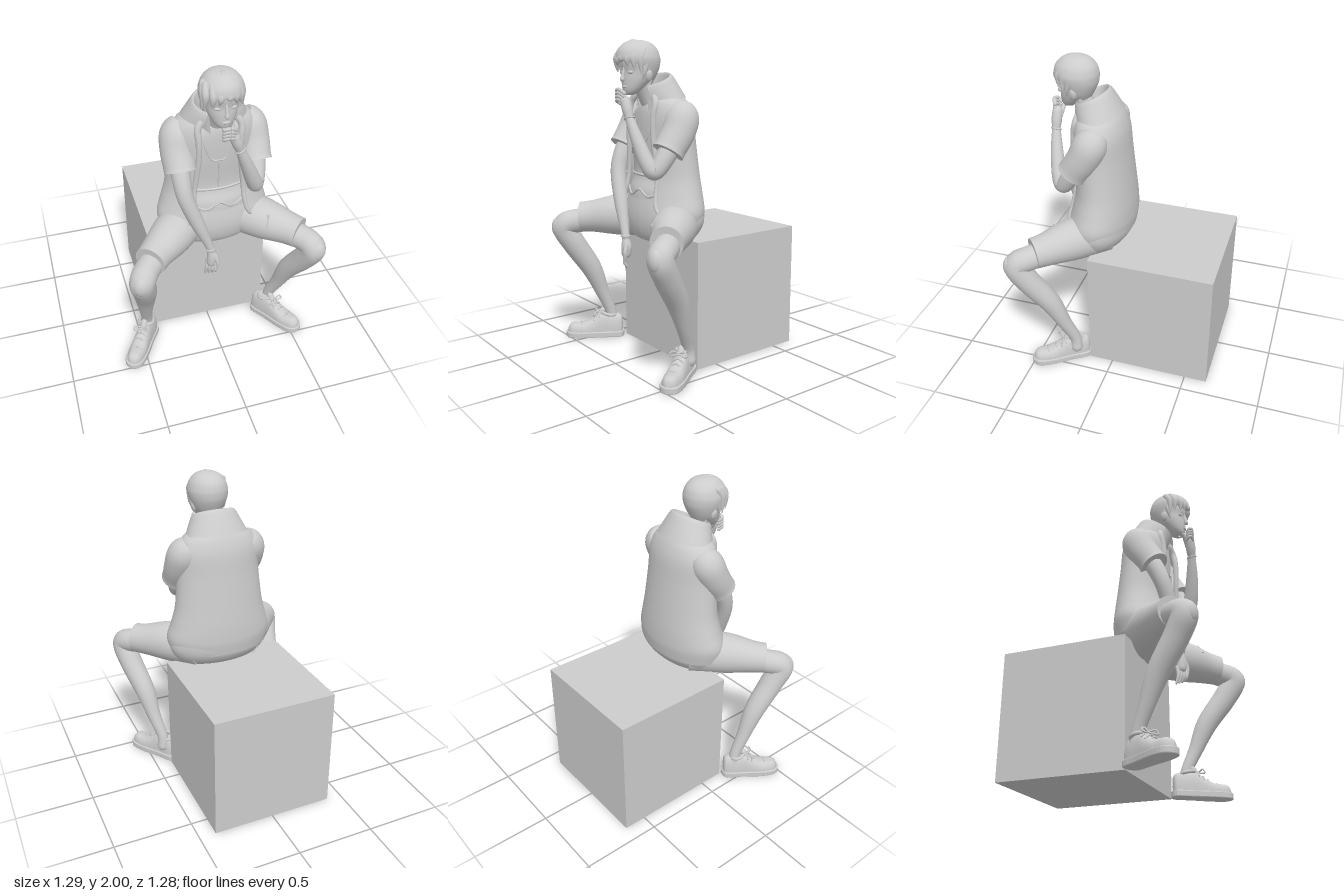
import * as THREE from 'three';
import { mergeVertices } from 'three/addons/utils/BufferGeometryUtils.js';

const V = (x, y, z) => new THREE.Vector3(x, y, z);

// Catmull-Rom through rows of numbers, giving `per` steps for each span
function spline(rows, per) {
  const out = [], last = rows.length - 1;
  for (let i = 0; i < last; i++) {
    const a = rows[Math.max(i - 1, 0)], b = rows[i], c = rows[i + 1], d = rows[Math.min(i + 2, last)];
    for (let k = 0; k < per; k++) {
      const t = k / per, t2 = t * t, t3 = t2 * t;
      out.push(b.map((v, j) => 0.5 * (2 * v + (c[j] - a[j]) * t
        + (2 * a[j] - 5 * v + 4 * c[j] - d[j]) * t2 + (3 * v - a[j] - 3 * c[j] + d[j]) * t3)));
    }
  }
  out.push(rows[last]);
  return out;
}

// Surface through rows of points; rings may close on themselves
function grid(rings, closed) {
  const n = rings[0].length, pos = [], idx = [];
  rings.forEach(r => r.forEach(p => pos.push(p.x, p.y, p.z)));
  for (let i = 0; i < rings.length - 1; i++) {
    for (let j = 0; j < (closed ? n : n - 1); j++) {
      const k = (j + 1) % n, a = i * n + j, b = i * n + k;
      idx.push(a, a + n, b, b, a + n, b + n);
    }
  }
  const g = new THREE.BufferGeometry();
  g.setAttribute('position', new THREE.Float32BufferAttribute(pos, 3));
  g.setIndex(idx);
  g.computeVertexNormals();
  return g;
}

// Round limb along [x, y, z, radius] points, with domed or flat ends
function limb(points, round = true, sides = 20, per = 6) {
  const s = spline(points, per), rings = [];
  const c = s.map(p => V(p[0], p[1], p[2]));
  const ring = (o, T, r) => {
    const N = V(1, 0, 0).addScaledVector(T, -T.x).normalize(), B = N.clone().cross(T);
    return Array.from({ length: sides }, (_, j) => {
      const a = j / sides * Math.PI * 2;
      return o.clone().addScaledVector(N, r * Math.cos(a)).addScaledVector(B, r * Math.sin(a));
    });
  };
  const tan = i => c[Math.min(i + 1, c.length - 1)].clone().sub(c[Math.max(i - 1, 0)]).normalize();
  const cap = (i, sign) => {
    const T = tan(i), r = s[i][3], out = [];
    if (!round) return [ring(c[i], T, r), ring(c[i], T, r * 0.5), ring(c[i], T, 0.0001)];
    for (let k = 1; k <= 4; k++) {
      const a = k / 4 * Math.PI / 2;
      out.push(ring(c[i].clone().addScaledVector(T, sign * r * Math.sin(a)), T, Math.max(r * Math.cos(a), 1e-4)));
    }
    return out;
  };
  rings.push(...cap(0, -1).reverse());
  c.forEach((o, i) => rings.push(ring(o, tan(i), s[i][3])));
  rings.push(...cap(c.length - 1, 1));
  return grid(rings, true);
}

// Upright shell from rows [y, xCentre, halfWidth, zBack, zFront, sweep, tilt]; sweep PI closes the front
const PI = Math.PI;
function shellPoint([y, xc, hw, zb, zf, sweep, tilt = 0], s) {
  const a = s * sweep;
  return V(xc + hw * Math.sin(a), y + tilt * Math.cos(a), (zb + zf) / 2 - (zf - zb) / 2 * Math.cos(a));
}
function shell(rows, per = 6, seg = 48) {
  const rings = spline(rows, per).map(r =>
    Array.from({ length: seg + 1 }, (_, j) => shellPoint(r, j / seg * 2 - 1)));
  const g = mergeVertices(grid(rings, false), 1e-5);
  g.computeVertexNormals();
  return g;
}

export function createModel() {
  const model = new THREE.Group();
  const grey = new THREE.MeshStandardMaterial({ color: 0xcccccc, side: THREE.DoubleSide });
  grey.name = 'plain grey';
  const add = (name, geo, parent = model) => {
    const m = new THREE.Mesh(geo, grey);
    m.name = name;
    parent.add(m);
    return m;
  };
  const ball = (name, x, y, z, sx, sy, sz) => {
    const m = add(name, new THREE.SphereGeometry(1, 24, 16));
    m.position.set(x, y, z);
    m.scale.set(sx, sy, sz);
    return m;
  };

  // Seat block
  add('seatBlock', new THREE.BoxGeometry(0.795, 0.8, 0.8)).position.set(-0.003, 0.405, -0.245);

  // Shorts: seat and two thighs with hems
  add('shortsSeat', shell([
    [0.765, 0.03, 0.01, 0.14, 0.16, PI], [0.77, 0.03, 0.16, 0.08, 0.27, PI], [0.8, 0.03, 0.27, 0.02, 0.31, PI],
    [0.87, 0.03, 0.325, -0.03, 0.33, PI], [0.95, 0.03, 0.34, -0.042, 0.33, PI],
    [1.05, 0.03, 0.3, -0.035, 0.31, PI], [1.13, 0.03, 0.22, 0.02, 0.28, PI]]));
  const legs = [
    { side: 'right', s: -1, hip: -0.11, mid: -0.27, hem: -0.45, knee: -0.52, calf: -0.477, ankle: -0.452, foot: -0.51 },
    { side: 'left', s: 1, hip: 0.16, mid: 0.32, hem: 0.5, knee: 0.565, calf: 0.492, ankle: 0.422, foot: 0.445 }];
  for (const l of legs) {
    add(l.side + 'ShortsLeg', limb([[l.hip, 0.9, 0.12, 0.14], [l.mid, 0.89, 0.285, 0.133],
      [l.hem - l.s * 0.06, 0.875, 0.4, 0.106], [l.hem, 0.868, 0.465, 0.098]], false, 28));
    add(l.side + 'Leg', limb([[l.mid, 0.87, 0.3, 0.08], [l.hem, 0.845, 0.465, 0.078], [l.knee, 0.805, 0.555, 0.078],
      [l.knee - l.s * 0.02, 0.68, 0.495, 0.076], [l.calf, 0.5, 0.38, 0.067],
      [(l.calf + l.ankle) / 2, 0.32, 0.305, 0.046], [l.ankle, 0.18, 0.25, 0.037], [l.ankle, 0.1, 0.24, 0.04]]));
    ball(l.side + 'Kneecap', l.knee + l.s * 0.01, 0.8, 0.59, 0.055, 0.07, 0.045);

    // Shoe with toe along local z
    const shoe = new THREE.Group();
    shoe.name = l.side + 'Shoe';
    shoe.position.set(l.foot, 0, 0.34);
    shoe.rotation.y = l.s * 0.58;
    model.add(shoe);
    const outline = new THREE.Shape();
    outline.moveTo(0, -0.195);
    outline.splineThru([[0.05, -0.17], [0.054, -0.06], [0.062, 0.07], [0.05, 0.165], [0, 0.195],
      [-0.05, 0.165], [-0.062, 0.07], [-0.054, -0.06], [-0.05, -0.17], [0, -0.195]].map(p => new THREE.Vector2(...p)));
    const sole = new THREE.ExtrudeGeometry(outline, { depth: 0.028, bevelSize: 0.006, bevelThickness: 0.006, bevelSegments: 2, curveSegments: 4 });
    add('sole', sole.rotateX(PI / 2).translate(0, 0.035, 0), shoe);
    const upper = spline([[-0.19, 0.005, 0.06], [-0.18, 0.04, 0.12], [-0.13, 0.052, 0.135], [-0.05, 0.053, 0.14],
      [0.01, 0.056, 0.105], [0.08, 0.06, 0.075], [0.15, 0.05, 0.07], [0.18, 0.03, 0.05], [0.192, 0.003, 0.01]], 5);
    add('upper', grid(upper.map(([z, w, h]) => Array.from({ length: 25 }, (_, j) => {
      const a = PI * (1 - j / 24), c = Math.cos(a);
      return V(w * Math.sign(c) * Math.abs(c) ** 0.75, 0.025 + h * Math.sin(a) ** 0.8, z);
    })), false), shoe);
    const collar = add('ankleCollar', new THREE.TorusGeometry(0.046, 0.011, 10, 28), shoe);
    collar.rotation.x = PI / 2 - 0.2;
    collar.position.set(0, 0.16, -0.095);
    add('tongue', limb([[0, 0.13, -0.02, 0.022], [0, 0.185, -0.055, 0.02]]), shoe);
    const cap = add('toeSeam', new THREE.TorusGeometry(0.057, 0.004, 6, 24, PI), shoe);
    cap.position.set(0, 0.035, 0.095);
    cap.scale.y = 1.13;
    for (let k = 0; k < 3; k++) {
      const z = -0.025 + k * 0.03, y = 0.164 - k * 0.02;
      add('lace', limb([[-0.036, y - 0.025, z, 0.005], [0, y, z + 0.005, 0.005], [0.036, y - 0.025, z, 0.005]], true, 8), shoe);
    }
    for (const s of [-1, 1]) add('laceBow', limb([[0, 0.165, -0.02, 0.005], [s * 0.04, 0.18, -0.005, 0.005],
      [s * 0.05, 0.155, 0.005, 0.005], [0, 0.162, -0.015, 0.005]], true, 8), shoe);
  }

  // Shirt with neckline, placket, waist seam and hem points
  add('shirt', shell([[1.04, 0.025, 0.24, 0.02, 0.33, PI], [1.1, 0.025, 0.24, 0.02, 0.32, PI],
    [1.2, 0.025, 0.24, 0.02, 0.285, PI], [1.4, 0.025, 0.24, 0.03, 0.295, PI], [1.54, 0.025, 0.22, 0.04, 0.295, PI],
    [1.61, 0.025, 0.13, 0.08, 0.285, PI], [1.64, 0.025, 0.07, 0.14, 0.265, PI]]));
  add('shirtPlacket', limb([[0.025, 1.38, 0.294, 0.005], [0.025, 1.2, 0.285, 0.005]], true, 8));
  add('neckCord', limb([[-0.085, 1.64, 0.25, 0.006], [-0.06, 1.5, 0.287, 0.006], [-0.025, 1.41, 0.294, 0.006], [0.025, 1.395, 0.297, 0.006],
    [0.07, 1.41, 0.294, 0.006], [0.1, 1.5, 0.287, 0.006], [0.125, 1.64, 0.25, 0.006]], true, 8));
  add('waistSeam', shell([[1.19, 0.025, 0.241, 0.02, 0.287, PI], [1.185, 0.025, 0.246, 0.015, 0.295, PI],
    [1.175, 0.025, 0.243, 0.018, 0.291, PI]], 3));
  add('shirtHem', limb([[-0.15, 1.1, 0.28, 0.008], [-0.06, 1.06, 0.317, 0.008], [0.025, 1.1, 0.322, 0.008],
    [0.11, 1.06, 0.317, 0.008], [0.2, 1.1, 0.28, 0.008]], true, 8));

  // Open jacket
  const jacket = [[0.88, 0.025, 0.335, -0.036, 0.36, 1.9], [0.95, 0.025, 0.352, -0.046, 0.37, 2.4],
    [1.0, 0.025, 0.35, -0.047, 0.36, 2.58], [1.08, 0.025, 0.325, -0.044, 0.34, 2.62], [1.2, 0.025, 0.295, -0.033, 0.32, 2.6],
    [1.4, 0.025, 0.275, -0.012, 0.325, 2.65], [1.54, 0.025, 0.27, 0.002, 0.325, 2.65],
    [1.62, 0.025, 0.235, 0.025, 0.315, 2.55], [1.67, 0.025, 0.17, 0.05, 0.3, 2.5]];
  add('jacket', shell(jacket));
  for (const s of [-1, 1]) {
    const edge = jacket.slice(1).map((r, i) => {
      const p = shellPoint(r, s);
      return [p.x, p.y, p.z, 0.01 + 0.0018 * i];
    });
    add('jacketFrontEdge', limb(edge, true, 12));
  }
  add('jacketCollar', shell([[1.6, 0.025, 0.1, 0.14, 0.3, 2.6, 0.03], [1.745, 0.025, 0.125, 0.135, 0.31, 2.6, 0.04],
    [1.76, 0.025, 0.14, 0.115, 0.32, 2.6, 0.042], [1.715, 0.025, 0.165, 0.075, 0.325, 2.6, 0.03],
    [1.645, 0.025, 0.2, 0.03, 0.315, 2.6, 0.02]]));
  const pocket = add('pocketSlit', new THREE.BoxGeometry(0.02, 0.075, 0.012));
  pocket.position.set(0.315, 0.955, 0.405);
  pocket.rotation.set(-0.4, 0.5, -0.3);

  // Short sleeves with hem rims
  for (const [name, s, x] of [['rightSleeve', -1, -0.205], ['leftSleeve', 1, 0.26]]) {
    add(name, limb([[x - s * 0.055, 1.575, 0.15, 0.085], [x - s * 0.015, 1.535, 0.165, 0.105],
      [x, 1.45, 0.205, 0.101], [x, 1.37, 0.258, 0.096], [x, 1.342, 0.277, 0.098]], false, 28));
  }

  // Hanging right arm and hand
  add('rightArm', limb([[-0.205, 1.42, 0.23, 0.06], [-0.205, 1.3, 0.295, 0.056], [-0.19, 1.18, 0.335, 0.05],
    [-0.125, 1, 0.36, 0.043], [-0.07, 0.86, 0.375, 0.029], [-0.045, 0.79, 0.38, 0.025]]));
  const band = add('rightWristband', new THREE.TorusGeometry(0.026, 0.006, 8, 24));
  band.position.set(-0.05, 0.8, 0.379);
  band.rotation.x = PI / 2;
  add('rightPalm', limb([[-0.045, 0.78, 0.38, 0.024], [-0.038, 0.735, 0.38, 0.033], [-0.042, 0.69, 0.38, 0.031]]));
  for (let k = 0; k < 4; k++) {
    const x = -0.066 + k * 0.016, z = 0.362 + k * 0.012;
    add('rightFinger', limb([[x, 0.69, z, 0.012], [x - 0.005, 0.64, z + 0.008, 0.011],
      [x - 0.012 + k * 0.004, 0.585 + k * 0.01, z - 0.004, 0.007]], true, 10));
  }
  add('rightThumb', limb([[-0.022, 0.75, 0.395, 0.014], [-0.01, 0.7, 0.41, 0.012], [-0.018, 0.65, 0.41, 0.008]], true, 10));

  // Raised left arm with hand at the mouth
  add('leftArm', limb([[0.26, 1.42, 0.23, 0.062], [0.255, 1.31, 0.295, 0.058], [0.235, 1.23, 0.355, 0.05],
    [0.205, 1.285, 0.39, 0.047], [0.15, 1.42, 0.42, 0.038], [0.1, 1.54, 0.438, 0.026]], true, 20, 8));
  const cuff = add('leftWristband', new THREE.TorusGeometry(0.028, 0.006, 8, 24));
  cuff.position.set(0.1, 1.54, 0.438);
  cuff.rotation.set(PI / 2 - 0.1, 0.4, 0);
  add('leftPalm', limb([[0.1, 1.54, 0.438, 0.025], [0.082, 1.59, 0.44, 0.032], [0.062, 1.64, 0.44, 0.031]]));
  for (let k = 0; k < 4; k++) {
    const y = 1.625 + k * 0.02;
    add('leftFinger', limb([[0.068, y, 0.452, 0.012], [0.035, y + 0.022, 0.466, 0.012],
      [-0.002, y + 0.014, 0.458, 0.011], [0.005, y - 0.004, 0.438, 0.009]], true, 10));
  }
  add('leftThumb', limb([[0.07, 1.61, 0.42, 0.014], [0.035, 1.65, 0.415, 0.013], [0.01, 1.675, 0.412, 0.01]], true, 10));

  // Neck, head and face
  add('neck', limb([[0.025, 1.55, 0.18, 0.075], [0.02, 1.66, 0.25, 0.057], [0.02, 1.76, 0.3, 0.062]]));
  add('head', shell([[1.672, 0.02, 0.008, 0.375, 0.39, PI], [1.68, 0.02, 0.035, 0.34, 0.41, PI], [1.71, 0.02, 0.062, 0.3, 0.42, PI],
    [1.76, 0.02, 0.088, 0.245, 0.422, PI], [1.81, 0.02, 0.1, 0.215, 0.42, PI], [1.86, 0.02, 0.106, 0.2, 0.428, PI],
    [1.92, 0.02, 0.1, 0.205, 0.42, PI], [1.965, 0.02, 0.06, 0.25, 0.38, PI], [1.98, 0.02, 0.005, 0.31, 0.32, PI]]));
  add('nose', limb([[0.02, 1.83, 0.418, 0.009], [0.02, 1.79, 0.428, 0.011], [0.02, 1.765, 0.433, 0.014]], true, 12));
  ball('lips', 0.02, 1.722, 0.418, 0.024, 0.009, 0.01);
  for (const s of [-1, 1]) {
    ball('ear', 0.02 + s * 0.103, 1.785, 0.31, 0.014, 0.034, 0.022).rotation.z = -s * 0.2;
    ball('eyelid', 0.02 + s * 0.042, 1.806, 0.404, 0.022, 0.011, 0.012);
    add('brow', limb([[0.02 + s * 0.02, 1.828, 0.418, 0.004], [0.02 + s * 0.045, 1.834, 0.409, 0.005],
      [0.02 + s * 0.07, 1.826, 0.388, 0.003]], true, 8));
  }

  // Hair cap, fringe locks, sideburns and crown tuft
  add('hair', shell([[1.735, 0.02, 0.075, 0.238, 0.4, 0.9], [1.78, 0.02, 0.102, 0.212, 0.42, 1.3], [1.83, 0.02, 0.12, 0.19, 0.44, 1.6],
    [1.87, 0.02, 0.128, 0.184, 0.455, 2.3], [1.9, 0.02, 0.126, 0.186, 0.458, PI], [1.94, 0.02, 0.111, 0.2, 0.445, PI],
    [1.975, 0.02, 0.08, 0.235, 0.41, PI], [1.992, 0.02, 0.04, 0.28, 0.37, PI], [1.996, 0.02, 0.002, 0.325, 0.33, PI]]));
  for (const [x, tipX, tipY, z] of [[-0.08, -0.095, 1.81, 0.39], [-0.05, -0.06, 1.82, 0.42], [-0.01, -0.025, 1.845, 0.436],
    [0.03, 0.03, 1.865, 0.44], [0.06, 0.075, 1.84, 0.428], [0.09, 0.11, 1.82, 0.405], [0.11, 0.13, 1.8, 0.37], [-0.085, -0.102, 1.79, 0.36]]) {
    add('fringeLock', limb([[x, 1.935, z - 0.03, 0.022], [(x + tipX) / 2, 1.885, z, 0.023], [tipX, tipY, z, 0.003]], true, 12));
  }
  for (const s of [-1, 1]) add('sideburn', limb([[0.02 + s * 0.11, 1.87, 0.33, 0.018],
    [0.02 + s * 0.108, 1.81, 0.345, 0.012], [0.02 + s * 0.096, 1.765, 0.35, 0.003]], true, 10));
  add('crownTuft', limb([[0.02, 1.975, 0.33, 0.022], [0.015, 1.985, 0.36, 0.014], [0.005, 1.975, 0.395, 0.004]], true, 12));
  return model;
}
